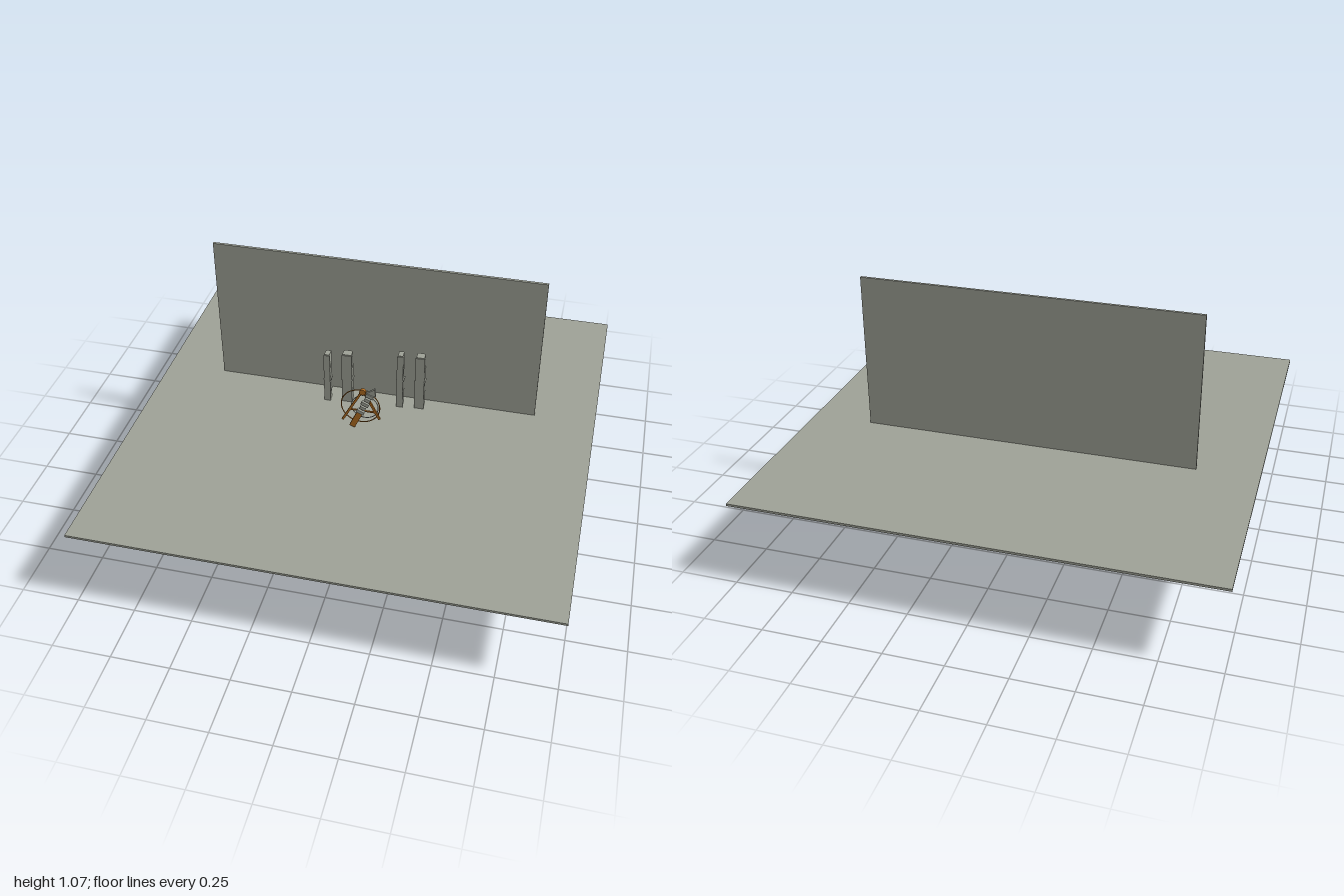
import * as THREE from 'three';

const stone = new THREE.MeshStandardMaterial({ color: 0x9fa297 });
stone.name = 'stone grey';
const bronze = new THREE.MeshStandardMaterial({ color: 0xb06c20 });
bronze.name = 'bronze';

function part(parent, name, geometry, material, x, y, z) {
  const mesh = new THREE.Mesh(geometry, material);
  mesh.name = name;
  mesh.position.set(x, y, z);
  parent.add(mesh);
  return mesh;
}

// Flat bar running between two points in the plane at depth z
function bar(parent, name, material, [ax, ay], [bx, by], z, width, depth) {
  const dx = bx - ax, dy = by - ay;
  const mesh = part(parent, name, new THREE.BoxGeometry(width, Math.hypot(dx, dy), depth),
    material, (ax + bx) / 2, (ay + by) / 2, z);
  mesh.rotation.z = Math.atan2(-dx, dy);
  return mesh;
}

// Square pillar with a front strip, a middle band and two thin seams
function pillar(parent, x, y, z, width) {
  const group = new THREE.Group();
  group.name = 'pillar';
  group.position.set(x, y, z);
  parent.add(group);
  part(group, 'shaft', new THREE.BoxGeometry(width, 0.296, 0.036), stone, 0, 0, 0);
  part(group, 'frontStrip', new THREE.BoxGeometry(width + 0.006, 0.29, 0.004), stone, 0, 0, 0.02);
  part(group, 'middleBand', new THREE.BoxGeometry(width + 0.012, 0.005, 0.04), stone, 0, 0.012, 0);
  for (const side of [-1, 1])
    part(group, 'seam', new THREE.BoxGeometry(width + 0.006, 0.003, 0.038), stone, 0, 0.012 + side * 0.066, 0);
}

export function createModel() {
  const model = new THREE.Group();
  model.name = 'emblemDisplay';

  // Floor slab and back wall
  part(model, 'floor', new THREE.BoxGeometry(2, 0.01, 2), stone, 0, 0.371, 0);
  part(model, 'wall', new THREE.BoxGeometry(1.466, 1.068, 0.012), stone, -0.002, 0.534, -0.2);

  // Pillars
  const pillars = [
    [-0.203, 0.480, -0.110, 0.023], [-0.114, 0.486, -0.121, 0.041],
    [0.126, 0.509, -0.136, 0.023], [0.214, 0.507, -0.145, 0.037],
  ];
  for (const p of pillars) pillar(model, ...p);

  const emblem = new THREE.Group();
  emblem.name = 'emblem';
  model.add(emblem);

  // Thin rings
  part(emblem, 'outerRing', new THREE.TorusGeometry(0.087, 0.0025, 6, 48), bronze, -0.014, 0.484, 0.053);
  part(emblem, 'innerRing', new THREE.TorusGeometry(0.06, 0.002, 6, 40), stone, 0.008, 0.492, 0.063);

  // Splayed legs, hinge and crossbar
  bar(emblem, 'leftLeg', bronze, [0, 0.583], [0.075, 0.436], 0.066, 0.01, 0.008);
  bar(emblem, 'rightLeg', bronze, [0, 0.583], [-0.092, 0.408], 0.066, 0.01, 0.008);
  bar(emblem, 'crossbar', bronze, [-0.055, 0.470], [0.06, 0.470], 0.066, 0.006, 0.006);
  const hinge = part(emblem, 'hinge', new THREE.CylinderGeometry(0.014, 0.014, 0.014, 20), bronze, 0, 0.578, 0.07);
  hinge.rotation.x = Math.PI / 2;

  // Handle and the segmented shaft above it
  const at = t => [-0.045 + 0.093 * t, 0.39 + 0.21 * t];
  bar(emblem, 'handle', bronze, at(0), at(0.36), 0.078, 0.026, 0.014);
  bar(emblem, 'core', bronze, at(0.3), at(0.9), 0.076, 0.01, 0.008);
  for (let i = 0; i < 5; i++)
    bar(emblem, 'segment', stone, at(0.38 + i * 0.11), at(0.45 + i * 0.11), 0.083, i % 2 ? 0.026 : 0.036, 0.014);

  // Pointed tip
  const tip = new THREE.Shape([[0.02, 0.585], [0.062, 0.572], [0.058, 0.613]].map(p => new THREE.Vector2(...p)));
  part(emblem, 'tip', new THREE.ExtrudeGeometry(tip, { depth: 0.012, bevelEnabled: false }), stone, 0, 0, 0.077);

  return model;
}
